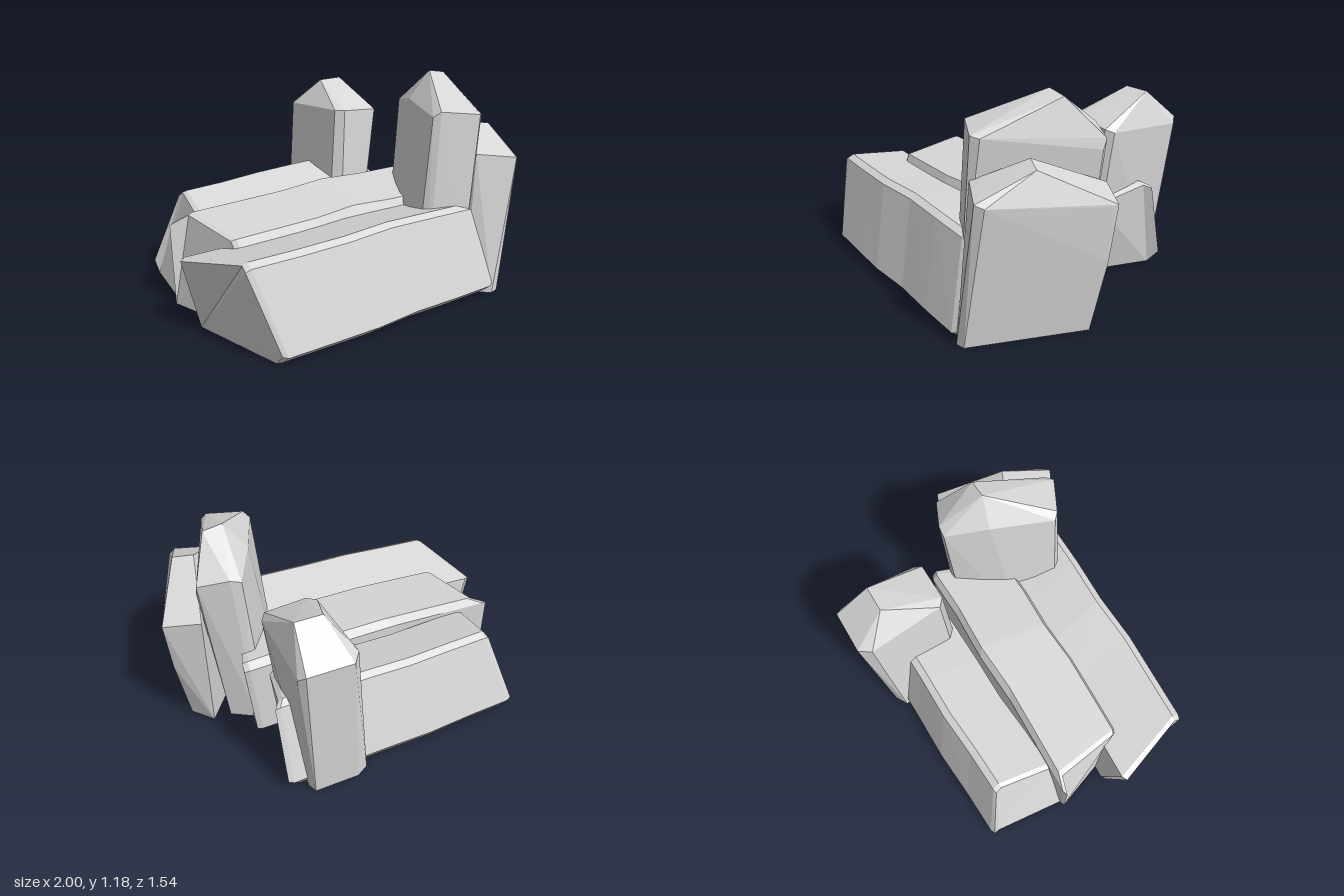
import * as THREE from 'three';
import { ConvexGeometry } from 'three/addons/geometries/ConvexGeometry.js';

// Long slab lofted along x. Each profile corner is [z, y, leftEndX, rightEndX],
// running back-bottom, front-bottom, then up and over. Waves are [dz, dy] per station.
function slabGeometry(profile, waves) {
  const n = profile.length;
  const mid = [0, 1].map((k) => profile.reduce((s, p) => s + p[k], 0) / n);
  const last = waves.length - 1;
  const stations = [{ t: 0, cap: true, w: waves[0] }];
  waves.forEach((w, i) => {
    const t = i === 0 ? 0.02 : i === last ? 0.98 : i / last;
    stations.push({ t, w });
  });
  stations.push({ t: 1, cap: true, w: waves[last] });

  const positions = [];
  const rings = stations.map(({ t, w, cap }) => profile.map(([z, y, xl, xr]) => {
    const k = cap ? 0.95 : 1; // bevelled ends
    const yy = y === 0 ? 0 : mid[1] + (y - mid[1]) * k + w[1] * y;
    return [xl + (xr - xl) * t, yy, mid[0] + (z - mid[0]) * k + w[0]];
  }));
  const tri = (a, b, c) => positions.push(...a, ...b, ...c);
  for (let i = 0; i < rings.length - 1; i++) {
    for (let j = 0; j < n; j++) {
      const k = (j + 1) % n;
      const [r, s] = [rings[i], rings[i + 1]];
      tri(r[j], s[j], r[k]);
      tri(r[k], s[j], s[k]);
    }
  }
  const [a, b] = [rings[0], rings[rings.length - 1]];
  for (let j = 1; j < n - 1; j++) {
    tri(a[0], a[j], a[j + 1]);
    tri(b[0], b[j + 1], b[j]);
  }
  const geometry = new THREE.BufferGeometry();
  geometry.setAttribute('position', new THREE.Float32BufferAttribute(positions, 3));
  geometry.computeVertexNormals();
  return geometry;
}

// Upright pointed boulder from its corner points
const boulderGeometry = (points) =>
  new ConvexGeometry(points.map((p) => new THREE.Vector3(...p)));

export function createModel() {
  const group = new THREE.Group();
  const stone = new THREE.MeshStandardMaterial({ color: 0xd8d8d8, flatShading: true });
  stone.name = 'light grey stone';
  const add = (name, geometry) => {
    const mesh = new THREE.Mesh(geometry, stone);
    mesh.name = name;
    group.add(mesh);
  };

  // Three low slabs lying side by side
  add('frontSlab', slabGeometry([
    [0.15, 0, -0.9, 0.58],
    [0.69, 0, -0.76, 0.58],
    [0.75, 0.055, -0.76, 0.61],
    [0.625, 0.5, -0.875, 0.53],
    [0.585, 0.52, -0.87, 0.52],
    [0.17, 0.42, -1, 0.5],
  ], [[-0.02, 0], [-0.005, 0], [0.01, 0.01], [0, 0.02], [0.015, 0.01], [0.02, -0.01]]));

  add('middleSlab', slabGeometry([
    [-0.16, 0, -0.9, 0.6],
    [0.22, 0, -0.78, 0.55],
    [0.275, 0.43, -0.74, 0.52],
    [0.25, 0.485, -0.75, 0.52],
    [-0.145, 0.515, -0.8, 0.65],
    [-0.175, 0.47, -0.9, 0.65],
  ], [[-0.01, 0], [0, 0.01], [0.01, 0.02], [-0.005, 0.04], [0.01, 0.01], [0.005, -0.01]]));

  add('backSlab', slabGeometry([
    [-0.6, 0, -0.82, 0.56],
    [-0.17, 0, -0.87, 0.42],
    [-0.19, 0.45, -0.72, 0.53],
    [-0.49, 0.52, -0.68, 0.59],
    [-0.53, 0.5, -0.69, 0.62],
    [-0.64, 0.06, -0.83, 0.61],
  ], [[0.02, 0], [0.01, 0], [-0.01, 0.01], [-0.01, 0.02], [-0.015, 0.02], [-0.02, 0.02]]));

  // Three standing boulders at the +x end
  add('sideBoulder', boulderGeometry([
    [0.61, 0, 0.76], [0.66, 0, 0.75], [0.9, 0, 0.16], [0.8, 0, 0.04],
    [0.46, 0, 0.5], [0.5, 0, 0.66],
    [0.55, 0.8, 0.63], [0.75, 0.775, 0.74], [0.79, 0.76, 0.71],
    [0.715, 0.91, 0.4], [0.825, 0.895, 0.45],
    [1, 0.7, 0.1], [0.99, 0.69, 0.13], [0.81, 0.73, 0],
    [0.97, 0.4, 0.12],
  ]));

  add('tallBoulder', boulderGeometry([
    [0.25, 0, 0.5], [0.29, 0, 0.56], [0.46, 0, 0.65], [0.7, 0, 0.04],
    [0.56, 0, -0.05], [0.5, 0, -0.04], [0.3, 0, 0.26],
    [0.34, 1.01, 0.5], [0.37, 1.04, 0.53], [0.56, 1.02, 0.63], [0.6, 1.01, 0.6],
    [0.59, 1.185, 0.19], [0.7, 1.165, 0.19],
    [0.81, 0.955, 0.01], [0.81, 0.9, 0.03], [0.65, 0.99, -0.06], [0.59, 0.97, -0.065],
    [0.47, 1.03, 0.16],
  ]));

  add('backBoulder', boulderGeometry([
    [0.16, 0, -0.67], [0.23, 0, -0.71], [0.48, 0, -0.71], [0.5, 0, -0.66],
    [0.46, 0, -0.26], [0.42, 0, -0.22], [0.26, 0, -0.21], [0.2, 0, -0.26],
    [0.24, 0.87, -0.71], [0.29, 0.86, -0.775], [0.54, 0.86, -0.775], [0.57, 0.83, -0.74],
    [0.36, 1.03, -0.57], [0.51, 1.03, -0.57],
    [0.57, 0.86, -0.28], [0.54, 0.88, -0.24], [0.31, 0.9, -0.24], [0.265, 0.9, -0.28],
  ]));

  return group;
}
